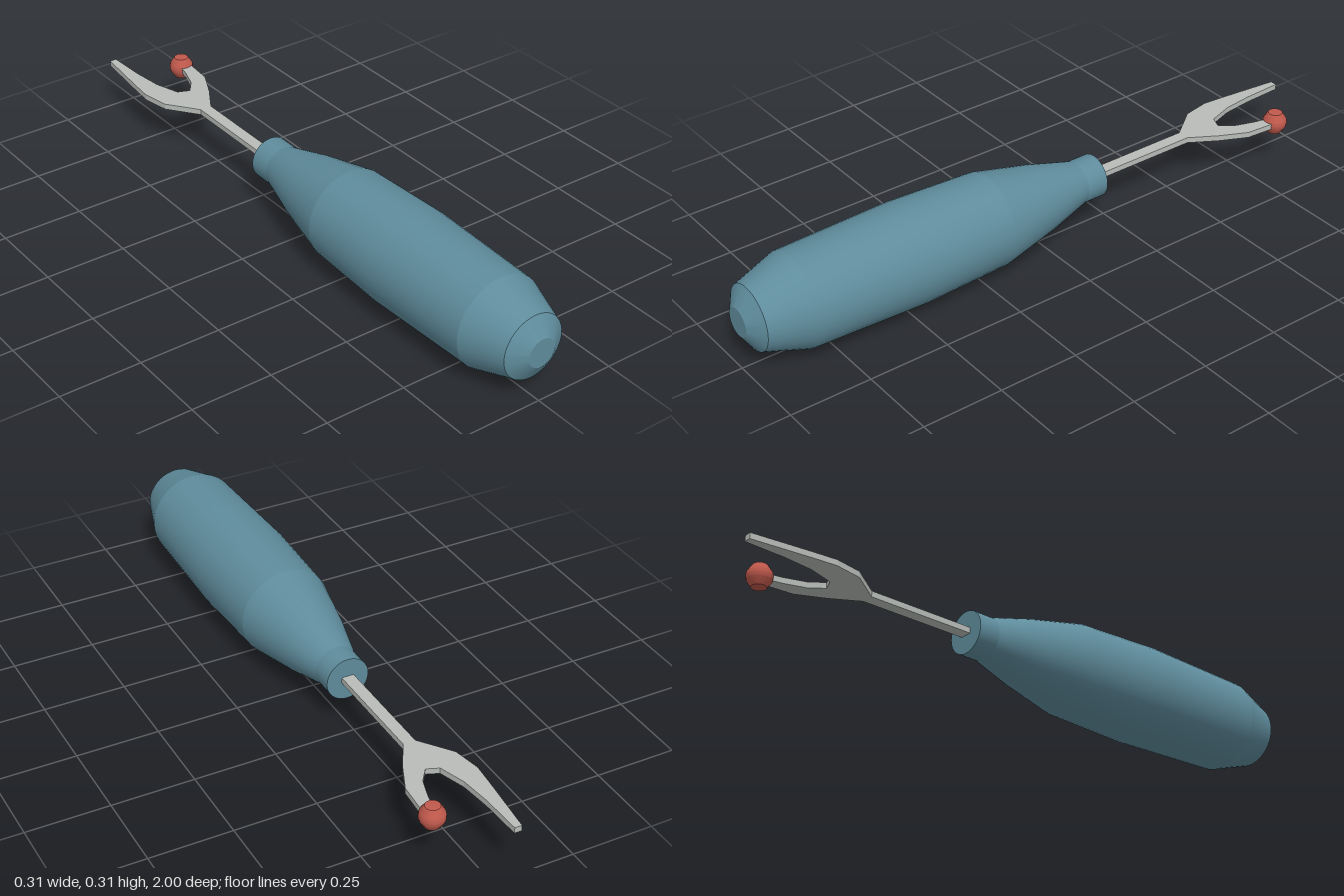
import * as THREE from 'three';
import { toCreasedNormals } from 'three/addons/utils/BufferGeometryUtils.js';

const CENTRE_Y = 0.153;

function addPart(group, name, geometry, color) {
  const mesh = new THREE.Mesh(geometry, new THREE.MeshStandardMaterial({ color }));
  mesh.name = name;
  group.add(mesh);
  return mesh;
}

const lathe = (profile, segments, crease) => toCreasedNormals(
  new THREE.LatheGeometry(profile.map(([r, h]) => new THREE.Vector2(r, h)), segments), crease);

export function createModel() {
  const group = new THREE.Group();
  group.name = 'seamRipper';

  // Turned handle: [radius, position along z], from neck to butt
  const handle = lathe([
    [0, -0.21], [0.066, -0.21], [0.066, -0.14], [0.104, 0], [0.143, 0.18],
    [0.153, 0.46], [0.143, 0.83], [0.099, 0.965], [0.044, 1], [0, 1],
  ], 40, 0.17);
  handle.rotateX(Math.PI / 2);
  addPart(group, 'handle', handle, 0x5f8c9c).position.y = CENTRE_Y;

  // Flat shaft and forked blade: outline in [x, distance towards the back]
  const outline = [
    [0.019, 0.15], [0.019, 0.56], [0.069, 0.645], [0.109, 0.73], [0.116, 0.82], [0.108, 0.86],
    [0.088, 0.86], [0.074, 0.79], [0.053, 0.725], [0.021, 0.683], [-0.016, 0.698],
    [-0.042, 0.778], [-0.053, 0.873], [-0.058, 1], [-0.08, 1], [-0.1, 0.81],
    [-0.106, 0.74], [-0.09, 0.655], [-0.019, 0.56], [-0.019, 0.15],
  ];
  const thickness = 0.018;
  const blade = new THREE.ExtrudeGeometry(
    new THREE.Shape(outline.map(([x, d]) => new THREE.Vector2(x, d))),
    { depth: thickness, bevelEnabled: false });
  blade.rotateX(-Math.PI / 2);
  addPart(group, 'forkedBlade', blade, 0xb8bcb8).position.y = CENTRE_Y - thickness / 2;

  // Safety bead on the short prong
  const bead = lathe([
    [0, -0.035], [0.022, -0.033], [0.036, -0.012], [0.038, 0],
    [0.036, 0.012], [0.022, 0.033], [0, 0.035],
  ], 16, 0.45);
  addPart(group, 'safetyBead', bead, 0xc0594c).position.set(0.097, CENTRE_Y, -0.85);

  return group;
}
